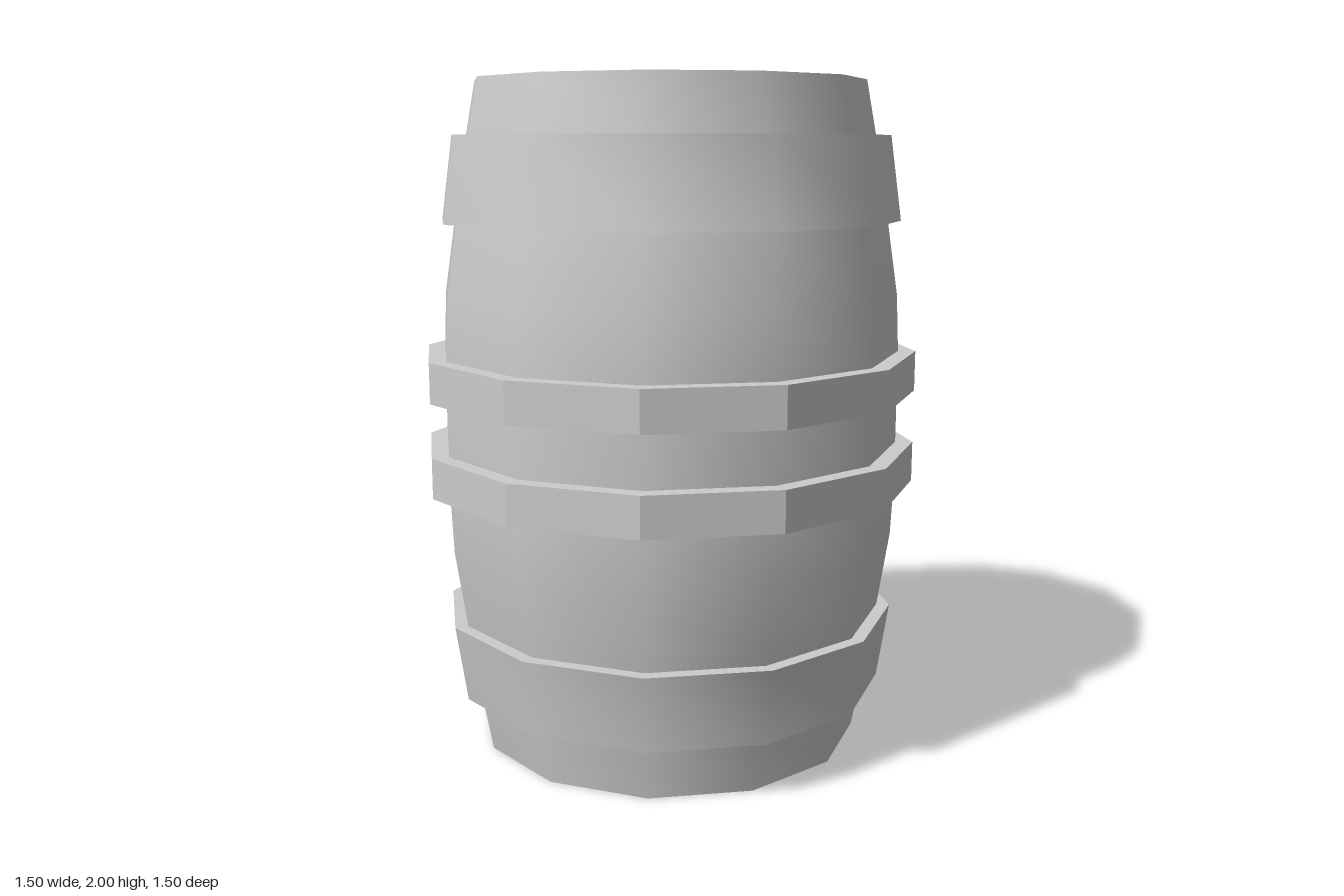
import * as THREE from 'three';
import { toCreasedNormals } from 'three/addons/utils/BufferGeometryUtils.js';

const SIDES = 12;

// Twelve-sided turned part from a [radius, height] profile.
function turned(name, profile, flat = false) {
  const points = profile.map(([r, y]) => new THREE.Vector2(r, y));
  const geometry = toCreasedNormals(new THREE.LatheGeometry(points, SIDES), 0.8);
  const material = new THREE.MeshStandardMaterial({
    color: 0xcccccc, flatShading: flat, side: THREE.DoubleSide,
  });
  const mesh = new THREE.Mesh(geometry, material);
  mesh.name = name;
  return mesh;
}

// Hoop band whose flat edges run slightly into the barrel wall.
function hoop(name, y0, r0, y1, r1, inner, flat) {
  return turned(name, [[inner, y0], [r0, y0], [r1, y1], [inner, y1]], flat);
}

export function createModel() {
  const barrel = new THREE.Group();
  barrel.name = 'barrel';

  // Bulging wall, open underneath; the lower half is mirrored upwards.
  const lower = [[0.585, 0], [0.617, 0.17], [0.655, 0.4], [0.69, 0.63], [0.698, 0.8]];
  const upper = lower.map(([r, y]) => [r, 2 - y]).reverse();
  barrel.add(turned('wall', [...lower, ...upper]));

  // Top rim with the recessed lid.
  barrel.add(turned('rimAndLid', [[0.585, 2], [0.54, 2], [0.54, 1.88], [0, 1.88]], true));

  // Tapered end hoops.
  barrel.add(hoop('bottomHoop', 0.17, 0.66, 0.4, 0.695, 0.61, false));
  barrel.add(hoop('topHoop', 1.59, 0.695, 1.84, 0.66, 0.61, false));

  // Straight middle hoops.
  barrel.add(hoop('lowerMiddleHoop', 0.8, 0.75, 0.92, 0.75, 0.68, true));
  barrel.add(hoop('upperMiddleHoop', 1.08, 0.75, 1.2, 0.75, 0.68, true));

  return barrel;
}
